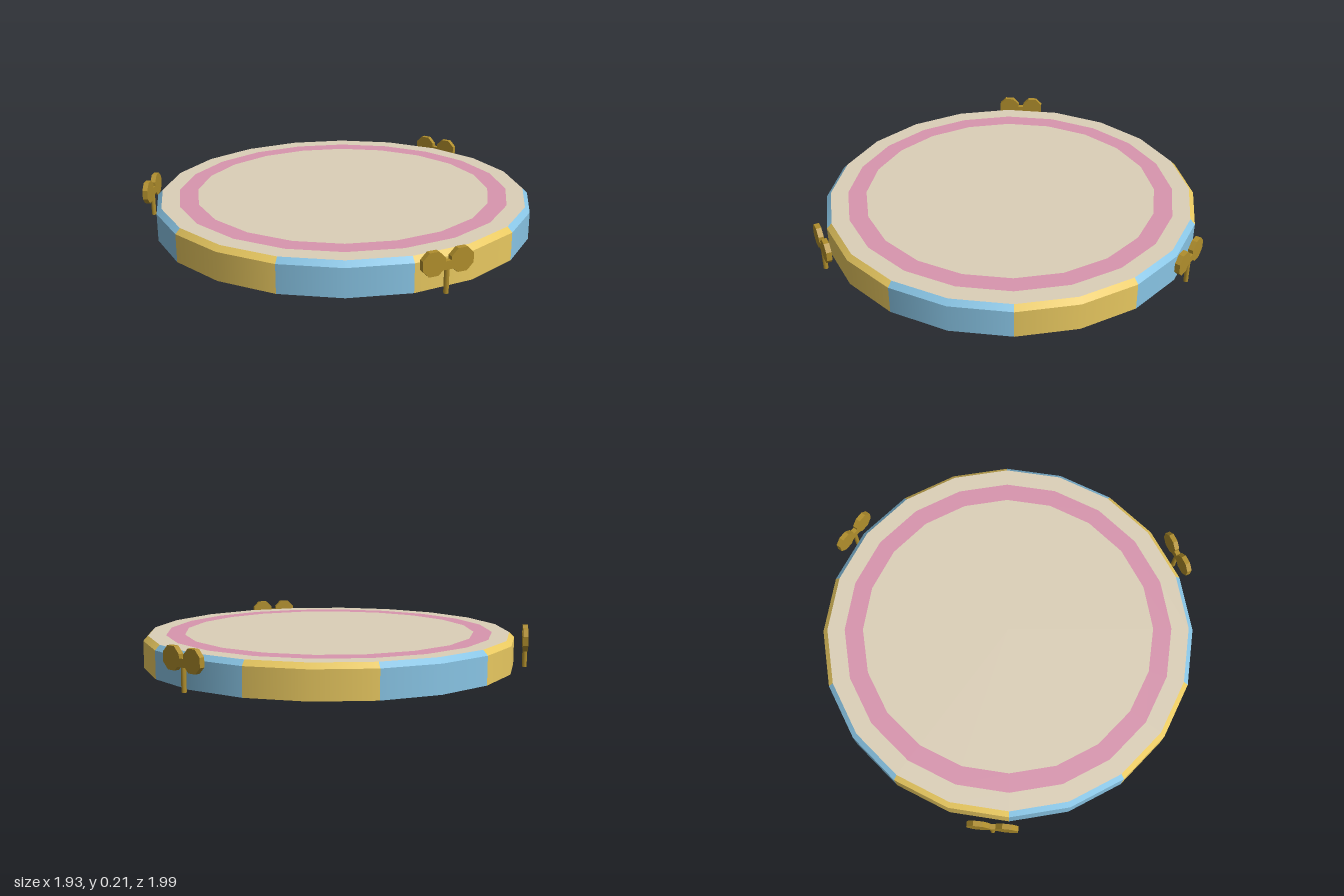
import * as THREE from 'three';

const SIDES = 20, R = 0.965, R_TOP = 0.94, WALL = 0.14, TOP = 0.165;

function material(color) {
  return new THREE.MeshStandardMaterial({ color });
}

function add(parent, name, geometry, mat) {
  const mesh = new THREE.Mesh(geometry, mat);
  mesh.name = name;
  parent.add(mesh);
  return mesh;
}

// Wing-headed tension key: two octagonal wings, a bridge and a thin stem
function makeKey(mat) {
  const key = new THREE.Group();
  key.name = 'wingKey';
  for (const side of [-1, 1]) {
    const wing = new THREE.CylinderGeometry(0.06, 0.06, 0.026, 8);
    wing.rotateY(Math.PI / 8).rotateX(Math.PI / 2);
    const flat = wing.toNonIndexed();
    flat.computeVertexNormals();
    add(key, 'keyWing', flat, mat).position.set(side * 0.07, 0.15, 0);
  }
  add(key, 'keyBridge', new THREE.BoxGeometry(0.07, 0.04, 0.026), mat).position.y = 0.135;
  add(key, 'keyStem', new THREE.CylinderGeometry(0.012, 0.012, 0.13, 8), mat).position.y = 0.065;
  return key;
}

export function createModel() {
  const model = new THREE.Group();
  model.name = 'drumPlatform';
  const yellow = material(0xe8c860), blue = material(0x88c4e4);
  const cream = material(0xdcd0b8), pink = material(0xd895ae), brass = material(0xb08e2c);

  const body = new THREE.Group();
  body.name = 'platform';
  body.position.z = 0.03;
  model.add(body);

  // Ten alternating panels, each with a bevel along its top edge
  const step = Math.PI / 5;
  for (let i = 0; i < 10; i++) {
    const mat = i % 2 ? blue : yellow;
    const start = (i - 0.5) * step;
    add(body, 'sidePanel',
      new THREE.CylinderGeometry(R, R, WALL, 2, 1, true, start, step), mat).position.y = WALL / 2;
    add(body, 'panelBevel',
      new THREE.CylinderGeometry(R_TOP, R, TOP - WALL, 2, 1, true, start, step), mat).position.y = (TOP + WALL) / 2;
  }

  // Top surface: centre disc, pink stripe and outer border in one plane
  const topParts = [
    ['topCentre', new THREE.CircleGeometry(0.755, SIDES), cream],
    ['topStripe', new THREE.RingGeometry(0.755, 0.85, SIDES), pink],
    ['topBorder', new THREE.RingGeometry(0.85, R_TOP, SIDES), cream],
  ];
  for (const [name, geometry, mat] of topParts) {
    add(body, name, geometry.rotateX(-Math.PI / 2), mat).position.y = TOP;
  }
  add(body, 'underside', new THREE.CircleGeometry(R, SIDES).rotateX(Math.PI / 2), yellow);

  // Three keys standing around the rim
  for (let i = 0; i < 3; i++) {
    const angle = Math.PI * (1 + i * 2 / 3);
    const arm = new THREE.Group();
    arm.name = 'keyMount';
    arm.rotation.y = angle;
    const key = makeKey(brass);
    key.position.set(0.025, 0, 1.014);
    arm.add(key);
    body.add(arm);
  }
  return model;
}
